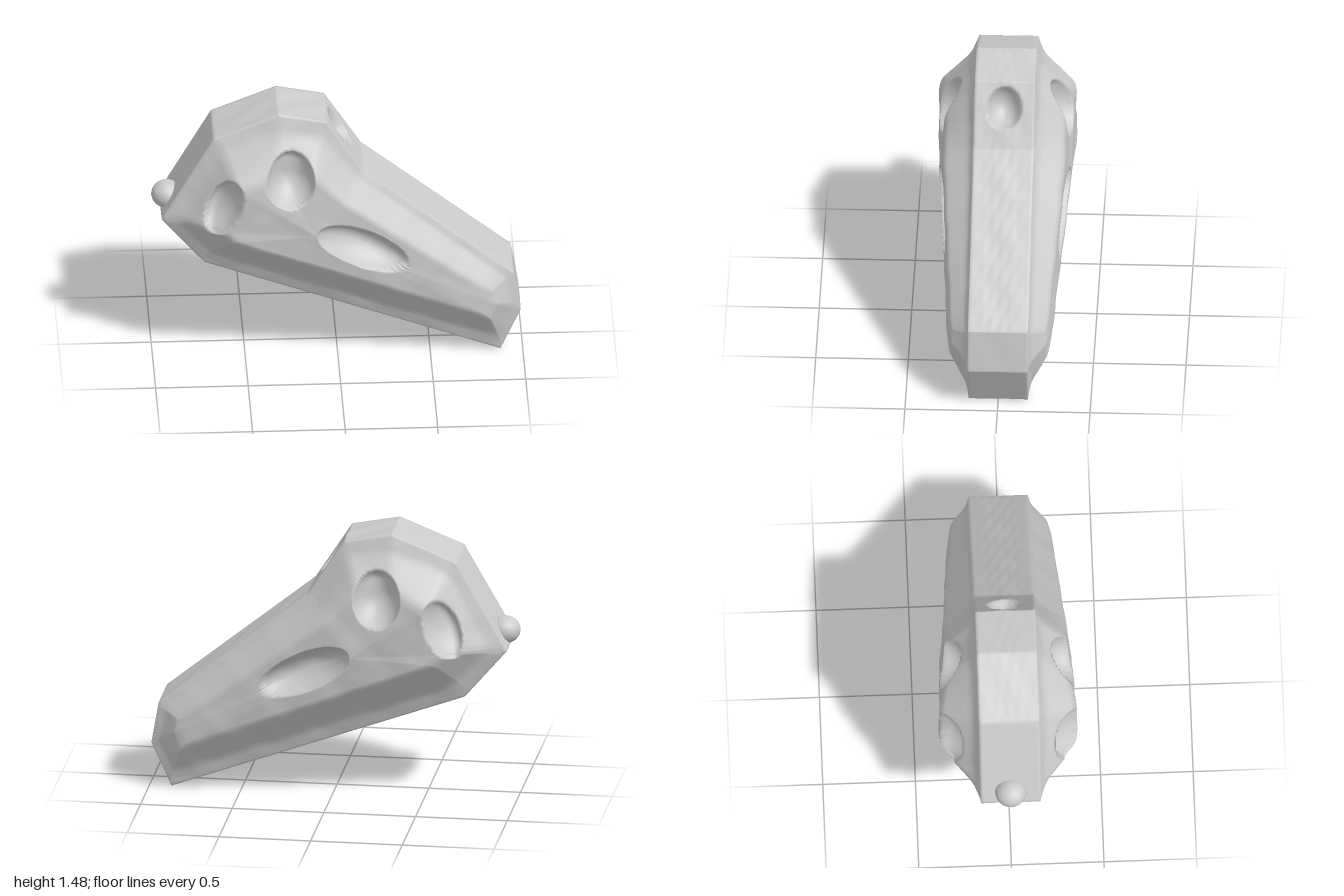
import * as THREE from 'three';

const HALF = 0.16;   // half thickness of the flat rim
const STEPS = 40;    // samples per outline edge

// Matching corners, clockwise from the crown: rim [x, y] and side plateau [x, y, z]
const RIM = [[-0.32, 1.49], [-0.06, 1.44], [0.14, 1.13], [0.95, 0.48], [0.99, 0.25],
  [0.88, 0.01], [-0.72, 0.59], [-0.95, 0.86], [-0.67, 1.35]];
const SIDE = [[-0.33, 1.22, 0.33], [-0.15, 1.20, 0.325], [0.04, 1.02, 0.33], [0.82, 0.42, 0.265],
  [0.84, 0.35, 0.27], [0.81, 0.27, 0.275], [-0.57, 0.82, 0.375], [-0.64, 0.89, 0.37], [-0.54, 1.14, 0.375]];
const HUB = [-0.12, 0.84, 0.355];

// Hollows in each side: centre, radii, tilt, depth
const HOLLOWS = [
  { x: -0.26, y: 1.16, rx: 0.13, ry: 0.15, tilt: 0, depth: 0.13 },        // eye socket
  { x: 0.125, y: 0.745, rx: 0.265, ry: 0.105, tilt: -0.45, depth: 0.12 }, // cheek opening
  { x: -0.62, y: 1.01, rx: 0.08, ry: 0.17, tilt: -0.42, depth: 0.11 },    // temple opening
];

const lerp = (a, b, t) => a.map((v, i) => v + (b[i] - v) * t);
const bowl = (r2) => (r2 < 1 ? Math.pow(1 - r2, 0.7) : 0);

function hollowDepth(x, y) {
  let depth = 0;
  for (const h of HOLLOWS) {
    const c = Math.cos(h.tilt), s = Math.sin(h.tilt), dx = x - h.x, dy = y - h.y;
    const u = (dx * c + dy * s) / h.rx, v = (-dx * s + dy * c) / h.ry;
    depth = Math.max(depth, h.depth * bowl(u * u + v * v));
  }
  return depth;
}

// Gentle hand-worked unevenness
const rough = (x, y, z) => 0.003 * (Math.sin(17 * x + 9 * z) * Math.sin(15 * y + 2)
  + 0.4 * Math.sin(29 * x + 4 * z) * Math.sin(33 * y + 37 * z));

function skullGeometry() {
  const count = RIM.length * STEPS;
  const along = (corners, u) => {
    const w = (u + count) % count, k = Math.floor(w / STEPS);
    return lerp(corners[k], corners[(k + 1) % corners.length], (w % STEPS) / STEPS);
  };

  // Side profile: ring 0 is the hub, 1 the plateau edge, 2 the rim.
  // Near the rim the wall stays almost upright, then flares out to the plateau.
  const facet = (u, ring) => {
    const inner = along(SIDE, u);
    if (ring <= 1) return lerp(HUB, inner, ring);
    const t = ring - 1;
    const [x, y] = lerp(inner, along(RIM, u).concat(0), t);
    const rise = t < 0.65 ? 1 - (t / 0.65) * 0.82 : (0.18 * (1 - t)) / 0.35;
    return [x, y, HALF + (inner[2] - HALF) * rise];
  };

  // Average neighbouring samples so that the ridges are slightly worn
  const sidePoint = (u, ring, sign) => {
    const d = Math.min(0.08, ring, 2 - ring), e = d * 40;
    const inward = lerp(facet(u - e, ring - d), facet(u + e, ring - d), 0.5);
    const outward = lerp(facet(u - e, ring + d), facet(u + e, ring + d), 0.5);
    const [x, y, z] = lerp(facet(u, ring), lerp(inward, outward, 0.5), 0.67);
    const fade = Math.min(1, (2 - ring) * 4);
    return [x, y, sign * (z - hollowDepth(x, y) + fade * rough(x, y, sign))];
  };

  // Flat band between the halves, with a round pit in the forehead
  const bandPoint = (u, z) => {
    const [x, y] = along(RIM, u);
    const onBrow = Math.floor(u / STEPS) === 1;
    const slope = Math.hypot(x - 0.02, y - 1.32) / 0.115;
    const pit = onBrow ? 0.09 * bowl(slope ** 2 + (z / 0.09) ** 2) : 0;
    const wave = rough(x, y, z * 3) * (1 - (z / HALF) ** 2);
    return [x - 0.84 * pit + wave * 0.5, y - 0.54 * pit + wave, z];
  };

  const rings = [];
  const sideRings = [];
  for (let i = 0; i <= 40; i++) sideRings.push(i / 40);
  for (let i = 1; i <= 22; i++) sideRings.push(1 + i / 22);
  for (const r of sideRings) rings.push((u) => sidePoint(u, r, 1));
  for (let i = 1; i < 24; i++) rings.push((u) => bandPoint(u, HALF - (2 * HALF * i) / 24));
  for (const r of [...sideRings].reverse()) rings.push((u) => sidePoint(u, r, -1));

  const positions = [], index = [];
  rings.forEach((point, i) => {
    for (let u = 0; u < count; u++) {
      positions.push(...point(u));
      if (i === rings.length - 1) continue;
      const next = (u + 1) % count;
      const a = i * count + u, c = i * count + next;
      const b = a + count, d = c + count;
      index.push(a, c, b, c, d, b);
    }
  });
  const geometry = new THREE.BufferGeometry();
  geometry.setAttribute('position', new THREE.Float32BufferAttribute(positions, 3));
  geometry.setIndex(index);
  geometry.computeVertexNormals();
  return geometry;
}

export function createModel() {
  const group = new THREE.Group();
  group.name = 'skull';
  const bone = new THREE.MeshStandardMaterial({ color: 0xcccccc });

  const body = new THREE.Mesh(skullGeometry(), bone);
  body.name = 'skullBody';
  group.add(body);

  // Rounded knob where the neck joins
  const knob = new THREE.Mesh(new THREE.SphereGeometry(1, 28, 20), bone);
  knob.name = 'neckKnob';
  knob.scale.set(0.085, 0.075, 0.085);
  knob.position.set(-0.915, 0.93, 0);
  group.add(knob);

  return group;
}
